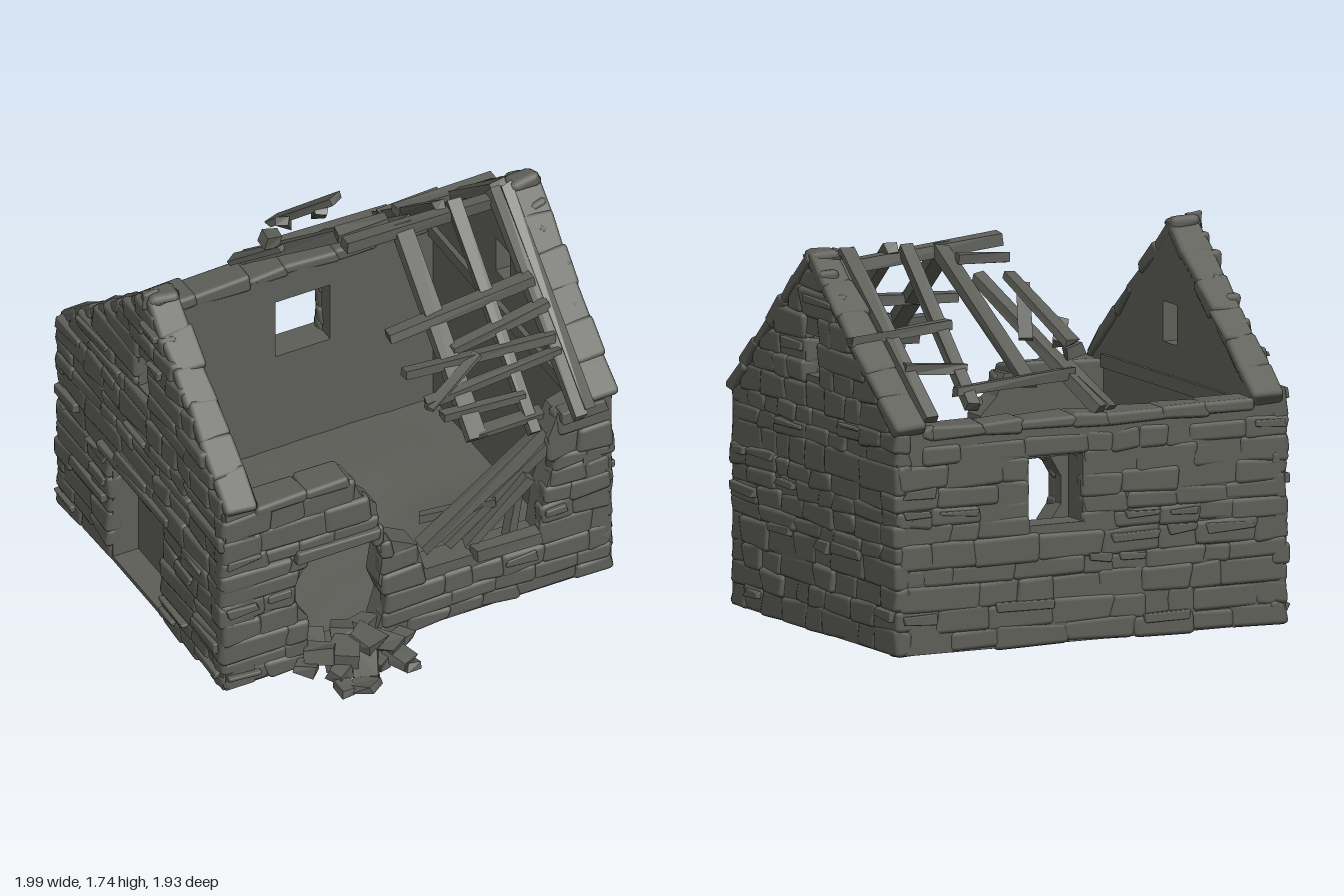
import * as THREE from 'three';
import { mergeGeometries } from 'three/addons/utils/BufferGeometryUtils.js';
import { RoundedBoxGeometry } from 'three/addons/geometries/RoundedBoxGeometry.js';

export function createModel() {
  const house = new THREE.Group();
  house.name = 'ruinedCottage';
  const grey = new THREE.MeshStandardMaterial({ color: 0x5e5e59 });
  grey.name = 'weathered grey';

  let seed = 11;
  const rnd = (a = 0, b = 1) => {
    seed = (seed * 16807) % 2147483647;
    return a + (b - a) * (seed / 2147483647);
  };
  const add = (name, geo, parent = house) => {
    const m = new THREE.Mesh(geo, grey);
    m.name = name;
    parent.add(m);
    return m;
  };

  // Move the eight corners of a box-like geometry by small random amounts
  const warp = (geo, amount) => {
    const p = geo.attributes.position;
    const off = Array.from({ length: 24 }, () => rnd(-amount, amount));
    for (let i = 0; i < p.count; i++) {
      const k = 3 * ((p.getX(i) > 0 ? 1 : 0) + (p.getY(i) > 0 ? 2 : 0) + (p.getZ(i) > 0 ? 4 : 0));
      p.setXYZ(i, p.getX(i) + off[k], p.getY(i) + off[k + 1], p.getZ(i) + off[k + 2]);
    }
    return geo;
  };
  const stone = (w, h, d, r = 0.018, j = 0.008) => warp(new RoundedBoxGeometry(w, h, d, 1, r), j);
  const roughBox = (w, h, d, j) => {
    const g = warp(new THREE.BoxGeometry(w, h, d), j).toNonIndexed();
    g.computeVertexNormals();
    return g;
  };

  // ---- wall outlines ----
  const eaveF = 0.62, eaveB = -0.93, ridge = -0.12;
  const gable = [[eaveB, 0.04], [eaveF, 0.04], [eaveF, 1.0], [ridge + 0.04, 1.68], [ridge - 0.04, 1.68], [eaveB, 1.03]];
  const gableFacing = [[eaveB, 0.04], [eaveF, 0.04], [eaveF, 1.03], [ridge, 1.73], [eaveB, 1.05]];
  const gableWindow = [[-0.2, 1.17], [-0.07, 1.17], [-0.07, 1.35], [-0.2, 1.35]];
  const sideDoor = [[-0.44, 0.06], [0.05, 0.06], [0.05, 0.61], [-0.44, 0.61]];
  const front = [[-0.96, 0.04], [0.96, 0.04], [0.96, 1.0], [0.8, 1.0], [0.7, 0.97], [0.65, 0.85], [0.68, 0.7],
    [0.63, 0.55], [0.6, 0.34], [0.04, 0.35], [0, 0.5], [-0.13, 0.57], [-0.19, 0.67], [-0.2, 0.8], [-0.28, 0.88],
    [-0.32, 0.98], [-0.96, 1.0]];
  const frontDoor = [[-0.55, 0.08], [-0.2, 0.08], [-0.15, 0.25], [-0.19, 0.36], [-0.17, 0.5], [-0.23, 0.62],
    [-0.53, 0.62], [-0.6, 0.5], [-0.6, 0.38], [-0.54, 0.3]];
  const back = [[-0.96, 0.04], [0.96, 0.04], [0.96, 1.01], [-0.96, 1.01]];
  const backWindow = [[0.04, 0.57], [0.31, 0.57], [0.31, 0.87], [0.04, 0.87]];

  const vec = pts => pts.map(([x, y]) => new THREE.Vector2(x, y));
  const slab = (outline, holes, depth) => {
    const s = new THREE.Shape(vec(outline));
    holes.forEach(h => s.holes.push(new THREE.Path(vec(h))));
    return new THREE.ExtrudeGeometry(s, { depth, bevelEnabled: false });
  };
  const inside = (poly, u, v) => {
    let c = false;
    poly.forEach(([x1, y1], i) => {
      const [x2, y2] = poly[(i + 1) % poly.length];
      if ((y1 > v) !== (y2 > v) && u < ((x2 - x1) * (v - y1)) / (y2 - y1) + x1) c = !c;
    });
    return c;
  };

  // Courses of uneven stones laid over one face of a wall
  const course = (name, outline, holes, face, out, alongZ) => {
    const geos = [];
    const put = (u0, u1, y, h, proud, r) => {
      const w = u1 - u0, t = 0.08, c = face + out * (proud - t / 2);
      const g = alongZ ? stone(t, h, w, r, 0.009) : stone(w, h, t, r, 0.009);
      const u = (u0 + u1) / 2;
      geos.push(g.translate(alongZ ? c : u, y, alongZ ? u : c));
    };
    for (let y = 0.045; y < 1.7;) {
      const h = rnd(0.065, 0.12);
      const levels = [0.2, 0.5, 0.85].map(t => y + h * t);
      const ok = u => inside(outline, u, levels[2]) && !holes.some(o => levels.some(v => inside(o, u, v)));
      for (let u = -1; u < 1; u += 0.01) {
        if (!ok(u)) continue;
        let end = u;
        while (ok(end + 0.01)) end += 0.01;
        // divide each unbroken run into overlapping stones
        for (let a = u - 0.01; a < end;) {
          let b = a + rnd(0.12, 0.34);
          if (end - b < 0.09) b = end + 0.01;
          const last = b > end;
          put(a, last ? b : b + 0.02, y + h / 2, h + 0.016, rnd(0.008, 0.022), 0.022);
          if (rnd() < 0.2 && b - a > 0.14) put(a + 0.02, b - 0.03, y + h * rnd(0.6, 0.95), h * 0.4, 0.031, 0.006);
          a = b;
        }
        u = end + 0.01;
      }
      y += h;
    }
    add(name, mergeGeometries(geos));
  };

  // ---- walls ----
  add('frontWall', slab(front, [frontDoor], 0.12)).position.z = 0.49;
  course('frontStones', front, [frontDoor], 0.61, 1, false);
  add('backWall', slab(back, [backWindow], 0.14)).position.z = -0.93;
  course('backStones', back, [backWindow], -0.925, -1, false);
  for (const s of [-1, 1]) {
    const side = s < 0 ? 'right' : 'left';
    const holes = s < 0 ? [gableWindow, sideDoor] : [gableWindow];
    const g = slab(gable, holes, 0.14).rotateY(-Math.PI / 2);
    add(side + 'GableWall', g).position.x = s < 0 ? -0.81 : 0.96;
    course(side + 'GableStones', gableFacing, holes, s * 0.957, s, true);
    // inner ledge at eave height
    add('eaveLedge', new THREE.BoxGeometry(0.03, 0.06, 1.28)).position.set(s * 0.81, 1.0, -0.15);
  }

  // ---- closed side door with inner frame ----
  add('sideDoorPanel', new THREE.BoxGeometry(0.02, 0.57, 0.49)).position.set(-0.815, 0.325, -0.195);
  for (const z of [-0.45, 0.06]) {
    add('doorFramePost', new THREE.BoxGeometry(0.03, 0.58, 0.04)).position.set(-0.8, 0.33, z);
  }
  add('doorFrameHead', new THREE.BoxGeometry(0.03, 0.04, 0.55)).position.set(-0.8, 0.64, -0.195);

  // ---- coping on gables and back wall ----
  const coping = new THREE.Group();
  coping.name = 'coping';
  house.add(coping);
  const slope = (x, z0, y0, z1, y1) => {
    const n = 6, len = Math.hypot(z1 - z0, y1 - y0) / n;
    for (let i = 0; i < n; i++) {
      const t = (i + 0.5) / n;
      const m = add('copingStone', stone(0.155, 0.06, len + 0.03, 0.02, 0.009), coping);
      m.position.set(x, y0 + (y1 - y0) * t, z0 + (z1 - z0) * t);
      m.rotation.x = -Math.atan2(y1 - y0, z1 - z0);
    }
  };
  for (const x of [-0.878, 0.905]) {
    slope(x, ridge, 1.69, 0.62, 1.015);
    slope(x, -0.93, 1.045, ridge, 1.69);
    add('ridgeStone', stone(0.145, 0.06, 0.1, 0.03), coping).position.set(x, 1.7, ridge);
  }
  for (let x = -0.8; x < 0.8;) {
    const w = Math.min(rnd(0.16, 0.3), 0.83 - x);
    add('wallTopStone', stone(w + 0.02, 0.06, 0.16), coping).position.set(x + w / 2, 1.02, -0.865);
    x += w;
  }
  for (const [x, w] of [[-0.68, 0.25], [-0.45, 0.22]]) {
    add('wallTopStone', stone(w, 0.06, 0.15), coping).position.set(x, 0.985, 0.56);
  }

  // ---- lintels ----
  add('frontDoorLintel', stone(0.42, 0.06, 0.17, 0.01)).position.set(-0.4, 0.655, 0.565);
  add('sideDoorLintel', stone(0.19, 0.06, 0.66, 0.01)).position.set(-0.895, 0.64, -0.2);

  // ---- floor with low heaps of dirt ----
  add('floorSlab', new THREE.BoxGeometry(1.9, 0.015, 1.53)).position.set(0, 0.045, -0.155);
  const dirt = new THREE.PlaneGeometry(1.64, 1.3, 24, 20).rotateX(-Math.PI / 2);
  const dp = dirt.attributes.position;
  const heaps = [[-0.2, -0.2, 0.02], [0.45, 0.4, 0.09], [0.35, -0.3, 0.03]];
  for (let i = 0; i < dp.count; i++) {
    let y = rnd(0, 0.006);
    for (const [x, z, h] of heaps) y += h * Math.exp(-((dp.getX(i) - x) ** 2 + (dp.getZ(i) - z) ** 2) * 9);
    dp.setY(i, y);
  }
  dirt.computeVertexNormals();
  add('dirtFloor', dirt).position.set(0, 0.054, -0.15);

  // ---- broken roof timbers ----
  const beam = (name, a, b, w = 0.05, t = 0.035) => {
    const A = new THREE.Vector3(...a), B = new THREE.Vector3(...b);
    const m = add(name, roughBox(w, t, A.distanceTo(B), 0.008));
    m.position.copy(A).lerp(B, 0.5);
    m.lookAt(B);
  };
  const roof = (x, z, lift = 0) => [x, lift + (z > ridge ? 1.7 - 0.87 * (z - ridge) : 1.7 + 0.8 * (z - ridge)), z];
  const rafters = [[0.29, -0.1, 0.27, 0.66, 0.085], [0.56, -0.12, 0.54, 0.7, 0.06], [0.76, -0.12, 0.765, 0.7, 0.05],
    [0.815, -0.12, 0.815, 0.68, 0.045], [0.32, -0.1, 0.22, -0.78, 0.08], [0.5, -0.12, 0.55, -0.86, 0.06],
    [0.79, -0.12, 0.78, -0.9, 0.07], [0.22, -0.28, -0.05, -0.93, 0.06]];
  for (const [x0, z0, x1, z1, w] of rafters) beam('rafter', roof(x0, z0), roof(x1, z1), w, 0.05);
  beam('ridgeBatten', [0, 1.69, -0.07], [0.8, 1.64, -0.12], 0.06, 0.06);
  const battens = [[0.04, -0.22, 0.28, -0.2, 0.06], [0.05, 0.25, 0.78, 0.21, 0.06],
    [0.3, 0.36, 0.8, 0.31, 0.05], [0.05, 0.39, 0.78, 0.42, 0.055], [0.1, 0.51, 0.78, 0.47, 0.045],
    [0.15, 0.56, 0.55, 0.58, 0.04], [0, -0.76, 0.6, -0.8, 0.05], [0.48, -0.5, 0.99, -0.54, 0.05],
    [0.5, -0.7, 0.8, -0.68, 0.045]];
  for (const [x0, z0, x1, z1, w] of battens) beam('batten', roof(x0, z0, 0.015), roof(x1, z1, 0.015), w, 0.045);
  // loose boards resting on the back slope and eaves
  beam('looseBoard', [0.18, 1.61, -0.48], [0.02, 1.34, -0.78], 0.07, 0.025);
  beam('looseBoard', [0.1, 1.56, -0.48], [0.2, 1.36, -0.7], 0.06, 0.025);
  beam('looseBoard', [0.0, 1.42, -0.66], [0.06, 1.33, -0.74], 0.06, 0.04);
  beam('looseBoard', [-0.06, 1.3, -0.72], [0.02, 1.28, -0.72], 0.06, 0.06);
  beam('looseBoard', [-0.1, 1.06, -0.93], [0.02, 1.26, -0.68], 0.06, 0.03);
  beam('looseBoard', roof(0.1, 0.54, 0.04), roof(0.4, 0.42, 0.05), 0.045, 0.025);
  beam('looseBoard', roof(0.28, 0.64), roof(0.6, 0.64), 0.05, 0.03);

  // ---- timbers fallen into the front breach ----
  beam('fallenBeam', [0.08, 0.38, 0.5], [0.66, 0.86, 0.55], 0.07, 0.065);
  beam('fallenBeam', [0.2, 0.36, 0.5], [0.66, 0.8, 0.58], 0.05, 0.05);
  beam('fallenBeam', [0.28, 0.36, 0.55], [0.56, 0.68, 0.6], 0.06, 0.04);
  beam('fallenBeam', [0.12, 0.46, 0.4], [0.42, 0.56, 0.56], 0.05, 0.04);
  beam('fallenBeam', [0.48, 0.34, 0.56], [0.54, 0.64, 0.55], 0.05, 0.035);
  beam('fallenBeam', [0.28, 0.35, 0.62], [0.6, 0.35, 0.62], 0.06, 0.05);

  // ---- rubble outside the front door ----
  const rubble = new THREE.Group();
  rubble.name = 'rubble';
  house.add(rubble);
  const heap = [[-0.58, 0.08, 0.68, 0.06], [-0.5, 0.13, 0.66, 0.08], [-0.4, 0.1, 0.7, 0.1], [-0.29, 0.12, 0.67, 0.09],
    [-0.2, 0.08, 0.7, 0.08], [-0.12, 0.07, 0.67, 0.06], [-0.45, 0.07, 0.76, 0.07], [-0.34, 0.07, 0.77, 0.08],
    [-0.18, 0.06, 0.78, 0.07], [-0.4, 0.055, 0.88, 0.07], [-0.48, 0.05, 0.85, 0.05], [-0.15, 0.05, 0.84, 0.05],
    [-0.36, 0.14, 0.58, 0.08], [-0.24, 0.12, 0.56, 0.07], [-0.48, 0.11, 0.55, 0.07], [-0.27, 0.06, 0.75, 0.06]];
  for (const [x, y, z, r] of heap) {
    const m = add('rubbleStone', roughBox(r * 1.6, r * 0.75, r * 1.35, r * 0.2), rubble);
    m.position.set(x, y, z);
    m.rotation.set(rnd(-0.2, 0.2), rnd(0, 6), rnd(-0.2, 0.2));
  }
  return house;
}
